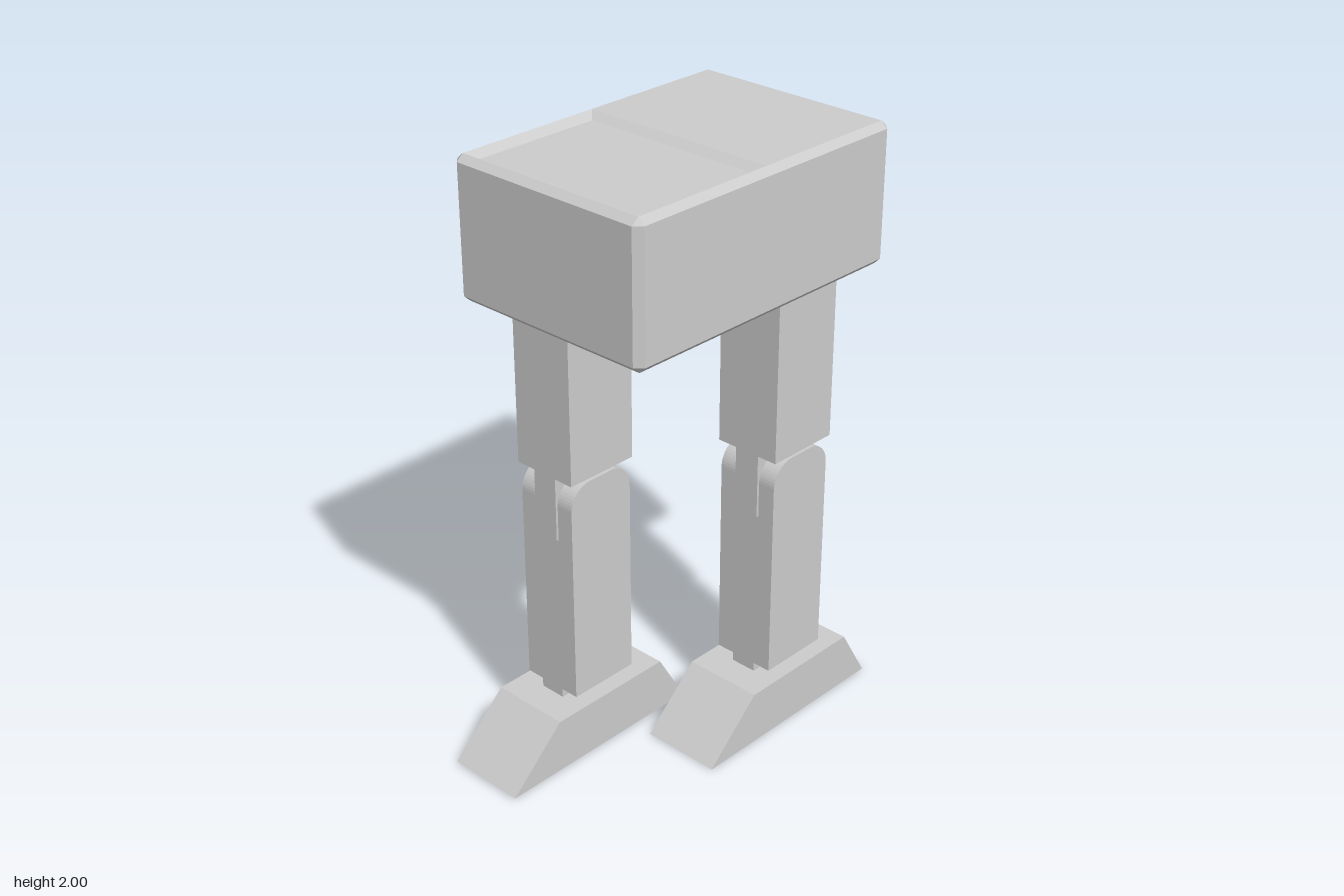
import * as THREE from 'three';

const material = new THREE.MeshStandardMaterial({ color: 0xcccccc, flatShading: true });

function part(name, geometry) {
  const mesh = new THREE.Mesh(geometry, material);
  mesh.name = name;
  return mesh;
}

// Box given by its limits
function block(name, x0, x1, y0, y1, z0, z1) {
  const geo = new THREE.BoxGeometry(x1 - x0, y1 - y0, z1 - z0);
  geo.translate((x0 + x1) / 2, (y0 + y1) / 2, (z0 + z1) / 2);
  return part(name, geo);
}

// Rectangle ring with corners cut by c, as eight points at height y
function ring(x0, x1, z0, z1, c, y) {
  return [
    [x1 - c, z1], [x1, z1 - c], [x1, z0 + c], [x1 - c, z0],
    [x0 + c, z0], [x0, z0 + c], [x0, z1 - c], [x0 + c, z1],
  ].map(([x, z]) => new THREE.Vector3(x, y, z));
}

// Flat-sided skin through successive rings, leaving out empty triangles
function loft(rings) {
  const points = [];
  const add = (...tri) => {
    if (new THREE.Triangle(...tri).getArea() > 1e-8) points.push(...tri);
  };
  for (let i = 0; i + 1 < rings.length; i++) {
    const lo = rings[i], hi = rings[i + 1];
    for (let j = 0; j < lo.length; j++) {
      const k = (j + 1) % lo.length;
      add(lo[j], lo[k], hi[k]);
      add(lo[j], hi[k], hi[j]);
    }
  }
  const geo = new THREE.BufferGeometry().setFromPoints(points);
  geo.computeVertexNormals();
  return geo;
}

// Side profile (z, y) extruded across x from x0 to x1
function sideExtrude(shape, x0, x1) {
  const geo = new THREE.ExtrudeGeometry(shape, { depth: x1 - x0, bevelEnabled: false, curveSegments: 6 });
  geo.rotateY(-Math.PI / 2); // profile axis -> z, depth -> -x
  geo.translate(x1, 0, 0);
  return geo;
}

const LEG_X = 0.17;
const LEGS = [
  { name: 'leftLeg', x: LEG_X, y: 0, z: -0.31 },
  { name: 'rightLeg', x: -LEG_X, y: 0.008, z: 0.225 },
];

function createBody() {
  const body = new THREE.Group();
  body.name = 'body';

  // Chamfered casing with a sunken panel in the front half of the top
  body.add(part('casing', loft([
    ring(-0.34, 0.34, -0.546, 0.466, 0, 1.55),
    ring(-0.363, 0.363, -0.57, 0.49, 0.024, 1.572),
    ring(-0.363, 0.363, -0.57, 0.49, 0.024, 1.98),
    ring(-0.34, 0.34, -0.546, 0.466, 0, 2),
    ring(-0.34, 0.34, -0.04, 0.466, 0, 2),
    ring(-0.31, 0.31, -0.01, 0.436, 0, 1.98),
    ring(0, 0, 0.21, 0.21, 0, 1.98),
  ])));

  // Underside with a socket around each leg
  const under = new THREE.Shape([[-0.34, -0.546], [0.34, -0.546], [0.34, 0.466], [-0.34, 0.466]]
    .map(([x, z]) => new THREE.Vector2(x, z)));
  for (const leg of LEGS) {
    const limits = [leg.x - 0.14, leg.x + 0.14, leg.z - 0.2, leg.z + 0.2];
    const [x0, x1, z0, z1] = limits;
    under.holes.push(new THREE.Path([[x0, z0], [x0, z1], [x1, z1], [x1, z0]]
      .map(([x, z]) => new THREE.Vector2(x, z))));
    body.add(part('legSocket', loft([
      ring(leg.x, leg.x, leg.z, leg.z, 0, 1.72),
      ring(...limits, 0, 1.72),
      ring(...limits, 0, 1.55),
    ])));
  }
  const underside = new THREE.ShapeGeometry(under);
  underside.rotateX(Math.PI / 2);
  underside.translate(0, 1.55, 0);
  body.add(part('underside', underside));
  return body;
}

function createLeg() {
  const leg = new THREE.Group();

  // Upper leg and the knee tongue hanging from it
  leg.add(block('upperLeg', -0.115, 0.115, 0.985, 1.72, -0.13, 0.13));
  leg.add(block('kneeTongue', -0.045, 0.045, 0.77, 0.985, -0.13, 0.13));

  // Lower leg: two round-topped sides with a slot between them
  const d = 0.125, r = 0.08, top = 0.97, base = 0.215;
  const side = new THREE.Shape();
  side.moveTo(-d, base);
  side.lineTo(d, base);
  side.lineTo(d, top - r);
  side.absarc(d - r, top - r, r, 0, Math.PI / 2);
  side.lineTo(-d + r, top);
  side.absarc(-d + r, top - r, r, Math.PI / 2, Math.PI);
  side.closePath();
  leg.add(part('lowerLegOuterSide', sideExtrude(side, 0.048, 0.108)));
  leg.add(part('lowerLegInnerSide', sideExtrude(side, -0.108, -0.048)));
  leg.add(block('lowerLegCore', -0.048, 0.048, base, 0.77, -d, d));
  leg.add(block('ankle', -0.045, 0.045, 0.18, base, -d, d));

  // Wedge foot with a long sloping toe
  const foot = new THREE.Shape([[-0.34, 0], [0.425, 0], [0.225, 0.185], [-0.23, 0.185]]
    .map(([z, y]) => new THREE.Vector2(z, y)));
  leg.add(part('foot', sideExtrude(foot, -0.136, 0.136)));
  return leg;
}

export function createModel() {
  const model = new THREE.Group();
  model.name = 'walker';
  model.add(createBody());
  for (const { name, x, y, z } of LEGS) {
    const leg = createLeg();
    leg.name = name;
    leg.position.set(x, y, z);
    model.add(leg);
  }
  return model;
}
